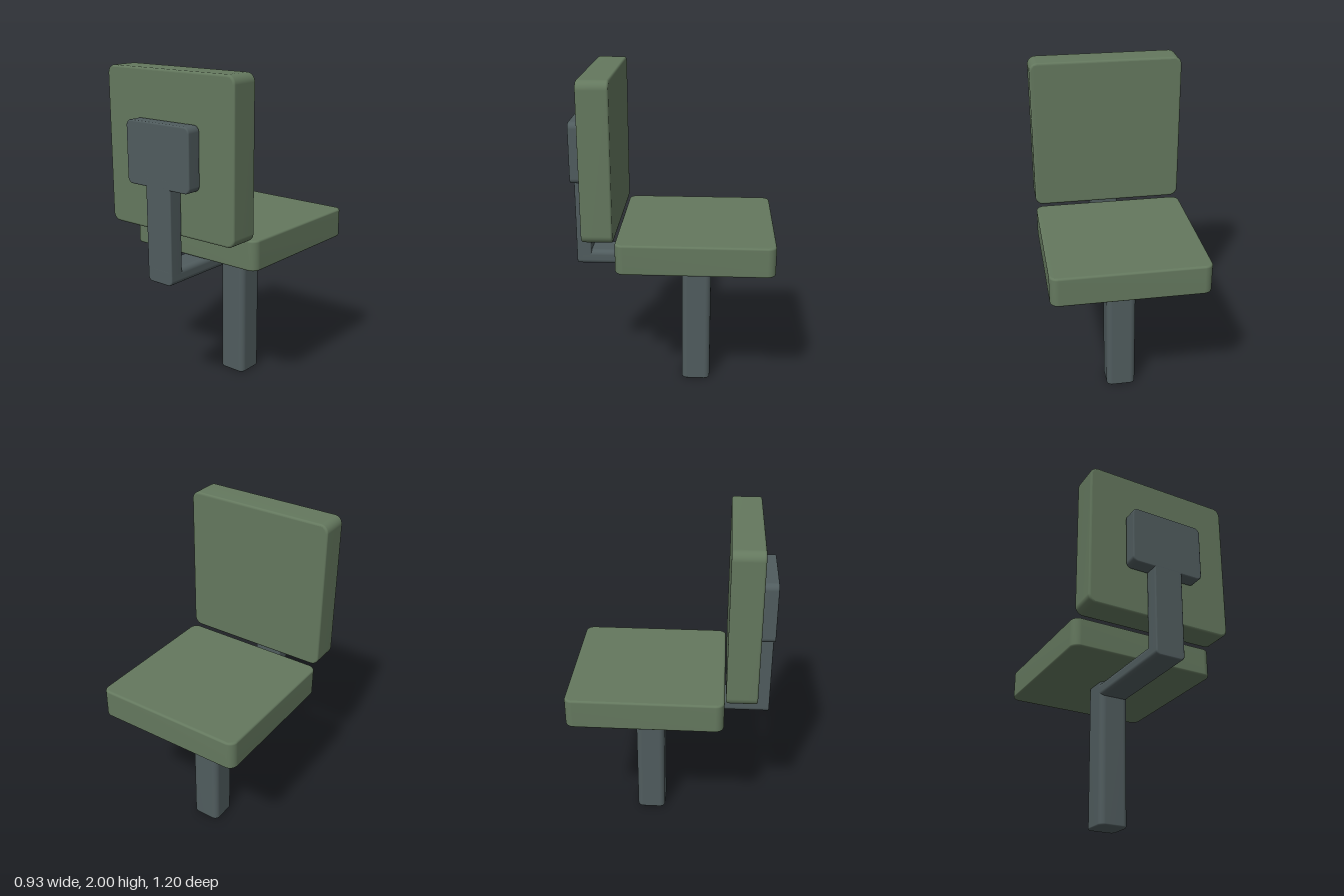
import * as THREE from 'three';
import { mergeVertices } from 'three/addons/utils/BufferGeometryUtils.js';

// Slab with rounded outline in x/y and a fine bevel around both faces, centred on the origin
function slabGeometry(w, h, d, r, bevel) {
  const x = w / 2, y = h / 2;
  const s = new THREE.Shape();
  s.moveTo(-x + r, -y);
  s.lineTo(x - r, -y);
  s.absarc(x - r, -y + r, r, -Math.PI / 2, 0, false);
  s.lineTo(x, y - r);
  s.absarc(x - r, y - r, r, 0, Math.PI / 2, false);
  s.lineTo(-x + r, y);
  s.absarc(-x + r, y - r, r, Math.PI / 2, Math.PI, false);
  s.lineTo(-x, -y + r);
  s.absarc(-x + r, -y + r, r, Math.PI, Math.PI * 1.5, false);

  const depth = d - 2 * bevel;
  const g = new THREE.ExtrudeGeometry(s, {
    depth, curveSegments: 6, bevelEnabled: true, bevelSegments: 3,
    bevelSize: bevel, bevelThickness: bevel, bevelOffset: -bevel,
  });
  g.translate(0, 0, -depth / 2);
  // Weld so the large flats stay flat while the rounded edges shade smoothly
  g.deleteAttribute('normal');
  g.deleteAttribute('uv');
  g.clearGroups();
  const welded = mergeVertices(g, 1e-5);
  welded.computeVertexNormals();
  return welded;
}

export function createModel() {
  const group = new THREE.Group();
  const upholstery = new THREE.MeshStandardMaterial({ color: 0x64785e });
  upholstery.name = 'green upholstery';
  const metal = new THREE.MeshStandardMaterial({ color: 0x505c5e });
  metal.name = 'grey metal';

  // Places a slab by its outline size; flat ones are laid with the outline in plan
  function add(name, material, [w, h, d, r, bevel], [x, y, z], flat = false) {
    const geometry = slabGeometry(w, h, d, r, bevel);
    if (flat) geometry.rotateX(-Math.PI / 2);
    const mesh = new THREE.Mesh(geometry, material);
    mesh.name = name;
    mesh.position.set(x, y, z);
    group.add(mesh);
  }

  // Cushions
  add('seatCushion', upholstery, [0.93, 0.925, 0.18, 0.05, 0.012], [0, 0.98, -0.138], true);
  add('backCushion', upholstery, [0.93, 0.925, 0.18, 0.05, 0.012], [0, 1.537, 0.42]);

  // Pedestal under the seat
  add('pedestalPost', metal, [0.184, 0.18, 0.9, 0.035, 0.01], [0, 0.45, -0.138], true);

  // Bracket carrying the backrest
  add('rearArm', metal, [0.184, 0.09, 0.7, 0.03, 0.008], [0, 0.842, 0.253]);
  add('backUpright', metal, [0.184, 0.62, 0.09, 0.03, 0.008], [0, 1.107, 0.558]);
  add('backPlate', metal, [0.464, 0.365, 0.09, 0.035, 0.008], [0, 1.5385, 0.558]);

  return group;
}
